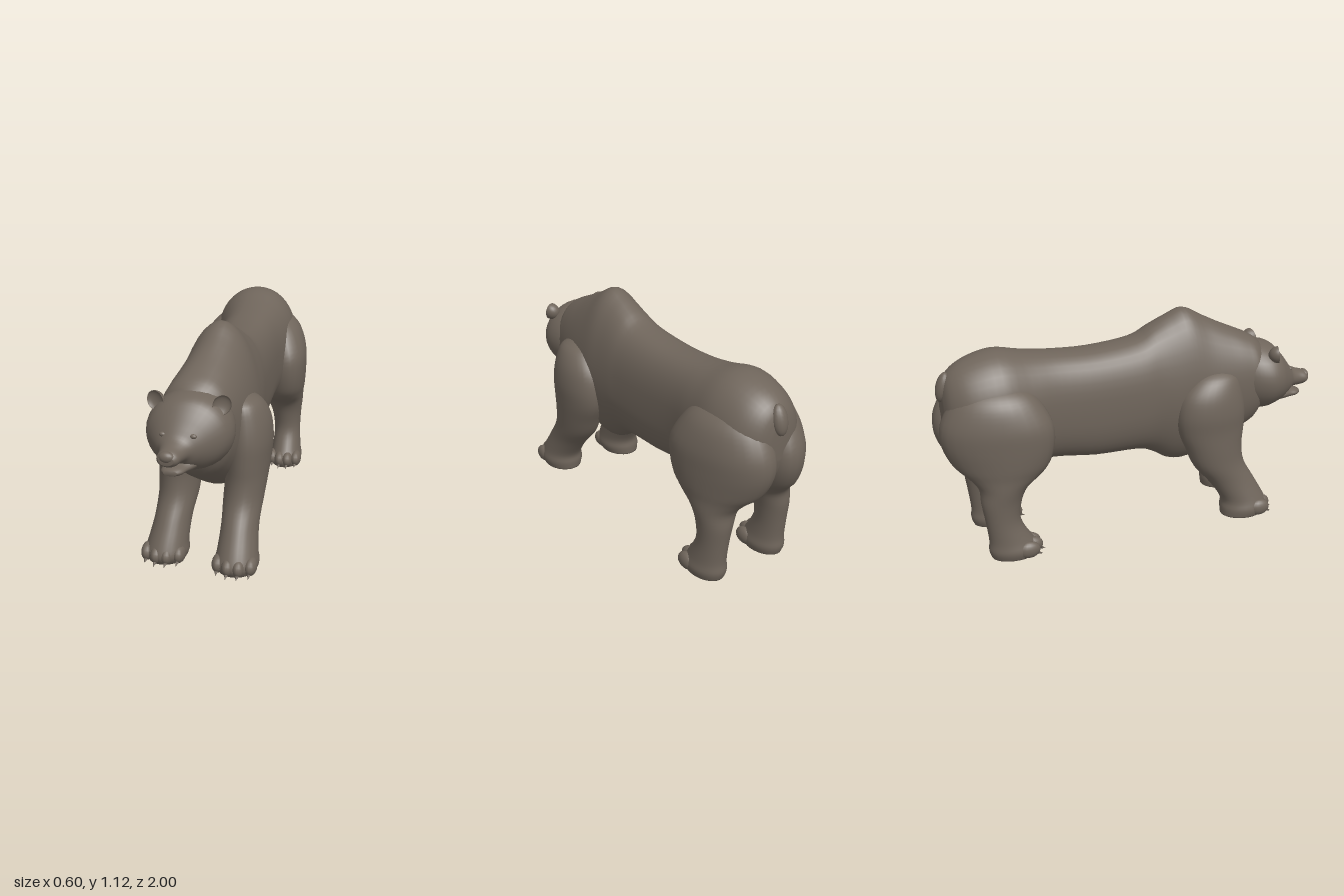
import * as THREE from 'three';

const fur = new THREE.MeshStandardMaterial({ color: 0x6f655b });
fur.name = 'brown fur';

const spline = (a, b, c, d, t) =>
  0.5 * (2 * b + (c - a) * t + (2 * a - 5 * b + 4 * c - d) * t * t + (3 * b - a - 3 * c + d) * t * t * t);

// Smooth skin through rings [s, a, b, ra, rb, power, skew]; s runs along 'y' or 'z',
// skew slides x along the ring's second axis.
function loft(name, rings, axis, sides = 28, steps = 4) {
  const full = rings.map(([s, a, b, ra, rb, power = 1, skew = 0]) => [s, a, b, ra, rb, power, skew]);
  const fine = [];
  for (let i = 0; i < full.length - 1; i++) {
    const [p, q, r, s] = [-1, 0, 1, 2].map(k => full[Math.min(full.length - 1, Math.max(0, i + k))]);
    for (let j = 0; j < steps; j++) fine.push(q.map((_, c) => spline(p[c], q[c], r[c], s[c], j / steps)));
  }
  fine.push(full[full.length - 1]);

  const pos = [], index = [];
  const put = (s, x, v) => (axis === 'y' ? pos.push(x, s, v) : pos.push(x, v, s));
  for (const [s, a, b, ra, rb, power, skew] of fine) {
    for (let k = 0; k < sides; k++) {
      const t = (k / sides) * Math.PI * 2, c = Math.cos(t), n = Math.sin(t);
      const x = ra * Math.sign(c) * Math.abs(c) ** power;
      const v = rb * Math.sign(n) * Math.abs(n) ** power * (axis === 'y' ? -1 : 1);
      put(s, a + x + skew * v, b + v);
    }
  }
  for (let i = 0; i < fine.length - 1; i++) {
    for (let k = 0; k < sides; k++) {
      const a = i * sides + k, b = i * sides + ((k + 1) % sides);
      index.push(a, b, b + sides, a, b + sides, a + sides);
    }
  }
  // end caps
  const first = fine[0], last = fine[fine.length - 1], base = (fine.length - 1) * sides;
  const c0 = pos.length / 3;
  put(first[0], first[1], first[2]);
  put(last[0], last[1], last[2]);
  for (let k = 0; k < sides; k++) {
    const n = (k + 1) % sides;
    index.push(c0, n, k, c0 + 1, base + k, base + n);
  }
  const geo = new THREE.BufferGeometry();
  geo.setAttribute('position', new THREE.Float32BufferAttribute(pos, 3));
  geo.setIndex(index);
  geo.computeVertexNormals();
  const mesh = new THREE.Mesh(geo, fur);
  mesh.name = name;
  return mesh;
}

// Ring along z given by its bottom, top and half width.
const span = ([z, x, bottom, top, half, power]) =>
  [z, x, (bottom + top) / 2, half, (top - bottom) / 2, power];

function blob(name, [x, y, z], [sx, sy, sz]) {
  const mesh = new THREE.Mesh(new THREE.SphereGeometry(1, 16, 12), fur);
  mesh.name = name;
  mesh.position.set(x, y, z);
  mesh.scale.set(sx, sy, sz);
  return mesh;
}

// Four toes with short claws across the front of a paw.
function toes(x, z, width) {
  const group = new THREE.Group();
  group.name = 'toes';
  for (let i = 0; i < 4; i++) {
    const u = (i - 1.5) / 1.5;
    const tx = x + u * width, tz = z - 0.03 * u * u;
    group.add(blob('toe', [tx, 0.048, tz], [0.031, 0.044, 0.058]));
    const claw = new THREE.Mesh(new THREE.ConeGeometry(0.011, 0.035, 8), fur);
    claw.name = 'claw';
    claw.position.set(tx, 0.02, tz + 0.055);
    claw.rotation.x = Math.PI / 2 + 0.4;
    group.add(claw);
  }
  return group;
}

// Bowl-shaped ear: a sphere with its front half pushed inwards.
function ear(side) {
  const geo = new THREE.SphereGeometry(1, 20, 16);
  const p = geo.attributes.position;
  for (let i = 0; i < p.count; i++) if (p.getZ(i) > 0) p.setZ(i, -0.4 * p.getZ(i));
  geo.computeVertexNormals();
  const mesh = new THREE.Mesh(geo, fur);
  mesh.name = side > 0 ? 'leftEar' : 'rightEar';
  mesh.position.set(-0.027 + side * 0.153, 0.868, 0.755);
  mesh.scale.set(0.042, 0.047, 0.05);
  mesh.rotation.set(-0.1, side * 0.3, -side * 0.45);
  return mesh;
}

export function createModel() {
  const bear = new THREE.Group();
  bear.name = 'bear';

  // trunk from rump over the shoulder hump to the neck
  bear.add(loft('trunk', [
    [-0.968, 0, 0.68, 0.84, 0.05],
    [-0.94, 0, 0.58, 0.93, 0.125],
    [-0.85, 0, 0.5, 0.995, 0.195],
    [-0.7, 0, 0.45, 1.03, 0.222, 0.95],
    [-0.55, 0.008, 0.43, 1.0, 0.2, 0.88],
    [-0.4, 0.012, 0.425, 0.98, 0.177, 0.82],
    [-0.2, 0.012, 0.4, 0.972, 0.175, 0.8],
    [0.02, 0.015, 0.39, 0.995, 0.178, 0.85],
    [0.12, 0.02, 0.355, 1.045, 0.18, 0.97],
    [0.21, 0.019, 0.3, 1.09, 0.186, 1.05],
    [0.3, 0.017, 0.285, 1.12, 0.19, 1.07],
    [0.4, 0.012, 0.32, 1.07, 0.19, 1.03],
    [0.5, 0, 0.375, 1.02, 0.188, 0.97],
    [0.6, -0.015, 0.44, 0.975, 0.18, 0.9],
    [0.67, -0.025, 0.5, 0.94, 0.165, 0.9],
    [0.74, -0.03, 0.62, 0.88, 0.09],
  ].map(span), 'z', 40));

  // head, turned a little to its right, tapering into the upper muzzle
  const head = new THREE.Group();
  head.name = 'head';
  head.add(loft('skull', [
    [0.55, -0.015, 0.6, 0.88, 0.13],
    [0.63, -0.022, 0.555, 0.91, 0.183],
    [0.71, -0.028, 0.54, 0.91, 0.203],
    [0.775, -0.032, 0.555, 0.89, 0.188],
    [0.82, -0.038, 0.575, 0.845, 0.152],
    [0.86, -0.048, 0.605, 0.79, 0.108],
    [0.89, -0.057, 0.632, 0.75, 0.073],
    [0.93, -0.064, 0.638, 0.73, 0.056],
    [0.97, -0.068, 0.645, 0.718, 0.05],
    [0.99, -0.07, 0.66, 0.702, 0.033],
  ].map(span), 'z', 32));
  head.add(loft('lowerJaw', [
    [0.76, -0.04, 0.565, 0.65, 0.09],
    [0.83, -0.05, 0.573, 0.65, 0.085],
    [0.88, -0.058, 0.578, 0.632, 0.06],
    [0.92, -0.063, 0.583, 0.625, 0.05],
    [0.945, -0.065, 0.592, 0.617, 0.03],
  ].map(span), 'z', 20));
  head.add(blob('nose', [-0.071, 0.695, 0.975], [0.036, 0.026, 0.024]));
  for (const side of [-1, 1]) {
    head.add(ear(side), blob('eye', [-0.048 + side * 0.07, 0.755, 0.864], [0.016, 0.011, 0.011]));
  }
  bear.add(head);

  // legs: rings [y, x, z, half width, half depth, power, skew]
  const foreRings = [
    [0.005, 0.17, 0.605, 0.095, 0.118],
    [0.045, 0.17, 0.615, 0.107, 0.13],
    [0.1, 0.17, 0.605, 0.097, 0.12],
    [0.2, 0.168, 0.545, 0.09, 0.125],
    [0.3, 0.168, 0.475, 0.097, 0.14],
    [0.4, 0.175, 0.445, 0.102, 0.155],
    [0.5, 0.18, 0.43, 0.108, 0.18],
    [0.6, 0.182, 0.425, 0.112, 0.185],
    [0.7, 0.175, 0.43, 0.105, 0.165],
    [0.78, 0.165, 0.455, 0.075, 0.115],
    [0.815, 0.15, 0.465, 0.03, 0.05],
  ];
  const hindRings = [
    [0.005, 0.185, -0.688, 0.078, 0.115],
    [0.045, 0.185, -0.688, 0.09, 0.128],
    [0.1, 0.185, -0.705, 0.08, 0.108],
    [0.2, 0.183, -0.737, 0.073, 0.088],
    [0.3, 0.178, -0.74, 0.082, 0.1],
    [0.38, 0.168, -0.725, 0.102, 0.12, 1, 0.05],
    [0.44, 0.155, -0.712, 0.12, 0.178, 1, 0.12],
    [0.5, 0.145, -0.722, 0.135, 0.23, 1, 0.2],
    [0.6, 0.14, -0.732, 0.143, 0.264, 0.95, 0.22],
    [0.7, 0.138, -0.735, 0.143, 0.262, 0.95, 0.22],
    [0.8, 0.125, -0.735, 0.13, 0.215, 1, 0.2],
    [0.86, 0.11, -0.735, 0.1, 0.16, 1, 0.2],
    [0.9, 0.09, -0.735, 0.05, 0.08, 1, 0.2],
  ];
  for (const side of [-1, 1]) {
    const label = side > 0 ? 'left' : 'right';
    // the right foreleg leans outwards, the left one reaches further forward
    const rise = y => Math.min(1, y / 0.5);
    const leanX = y => (side < 0 ? 0.02 - 0.05 * rise(y) : 0);
    const leanZ = y => (side < 0 ? -0.03 : 0.02 - 0.045 * rise(y));

    const fore = new THREE.Group();
    fore.name = label + 'ForeLeg';
    fore.add(
      loft('shoulderAndLeg', foreRings.map(([y, x, z, ...rest]) =>
        [y, side * (x + leanX(y)), z + leanZ(y), ...rest]), 'y'),
      toes(side * (0.17 + leanX(0)), 0.7 + leanZ(0), 0.078),
    );
    bear.add(fore);

    const hind = new THREE.Group();
    hind.name = label + 'HindLeg';
    hind.add(
      loft('thighAndLeg', hindRings.map(([y, x, z, rx, rz, power, skew = 0]) =>
        [y, side * x, z, rx, rz, power, side * skew]), 'y'),
      toes(side * 0.185, -0.6, 0.066),
    );
    bear.add(hind);
  }

  // short hanging tail
  const tail = blob('tail', [0, 0.873, -0.955], [0.04, 0.075, 0.033]);
  tail.rotation.x = 0.25;
  bear.add(tail);

  return bear;
}
